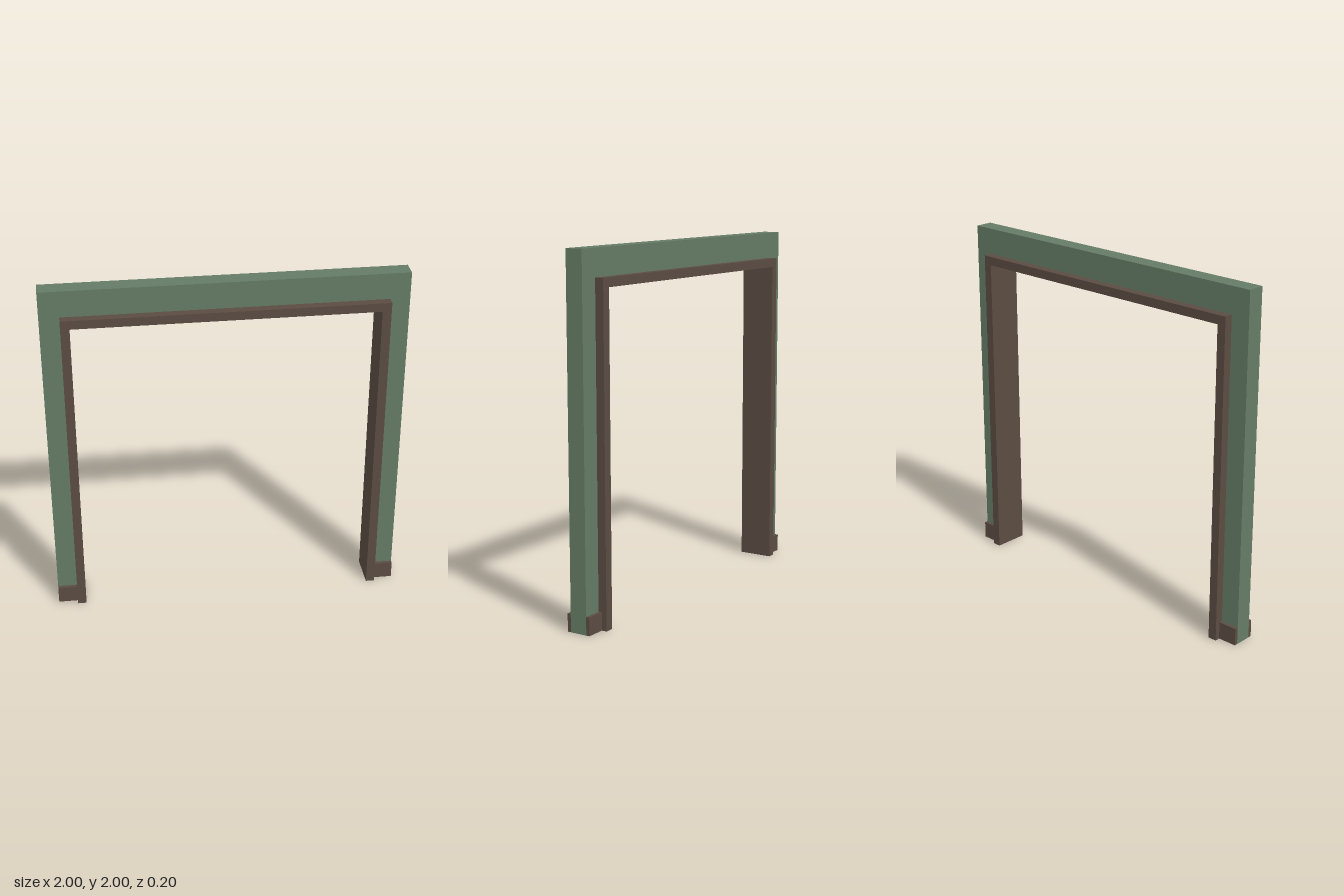
import * as THREE from 'three';

const OUT = 1, TOP = 2, WALL = 0.05;         // wall half width, height, half depth
const EDGE = 0.89, EDGE_TOP = 1.85;          // outer edge of the door frame
const IN = 0.84, IN_TOP = 1.8, DEPTH = 0.1;  // opening and frame half depth

// Upside-down U outline standing on y = 0
function arch(outX, outY, inX, inY) {
  return new THREE.Shape([
    [-outX, 0], [-inX, 0], [-inX, inY], [inX, inY],
    [inX, 0], [outX, 0], [outX, outY], [-outX, outY],
  ].map(([x, y]) => new THREE.Vector2(x, y)));
}

export function createModel() {
  const model = new THREE.Group();
  model.name = 'doorway';
  const green = new THREE.MeshStandardMaterial({ color: 0x657c66, side: THREE.DoubleSide });
  green.name = 'green wall';
  const brown = new THREE.MeshStandardMaterial({ color: 0x5b4c42 });
  brown.name = 'brown wood';

  const add = (name, geometry, material, parent = model) => {
    const mesh = new THREE.Mesh(geometry, material);
    mesh.name = name;
    parent.add(mesh);
    return mesh;
  };

  // Hollow wall shell, open underneath and where it meets the frame
  const wall = new THREE.Group();
  wall.name = 'wall';
  model.add(wall);
  const face = new THREE.ShapeGeometry(arch(OUT, TOP, EDGE, EDGE_TOP));
  add('wallFront', face, green, wall).position.z = WALL;
  const back = add('wallBack', face, green, wall);
  back.position.z = -WALL;
  back.rotation.y = Math.PI;
  const top = add('wallTop', new THREE.PlaneGeometry(2 * OUT, 2 * WALL), green, wall);
  top.position.y = TOP;
  top.rotation.x = -Math.PI / 2;

  // Door frame, one solid arch
  const frame = new THREE.ExtrudeGeometry(arch(EDGE, EDGE_TOP, IN, IN_TOP), { depth: 2 * DEPTH, bevelEnabled: false });
  add('doorFrame', frame.translate(0, 0, -DEPTH), brown);

  for (const sx of [1, -1]) {
    const side = sx > 0 ? 'left' : 'right';
    // Outer end of the wall
    const end = add(side + 'WallEnd', new THREE.PlaneGeometry(2 * WALL, TOP), green, wall);
    end.position.set(sx * OUT, TOP / 2, 0);
    end.rotation.y = sx * Math.PI / 2;
    // Skirting boards on both faces
    for (const sz of [1, -1]) {
      const board = add(side + (sz > 0 ? 'Front' : 'Back') + 'Skirting', new THREE.BoxGeometry(OUT - EDGE, 0.1, 0.02), brown);
      board.position.set(sx * (OUT + EDGE) / 2, 0.05, sz * (WALL + 0.01));
    }
  }
  return model;
}
